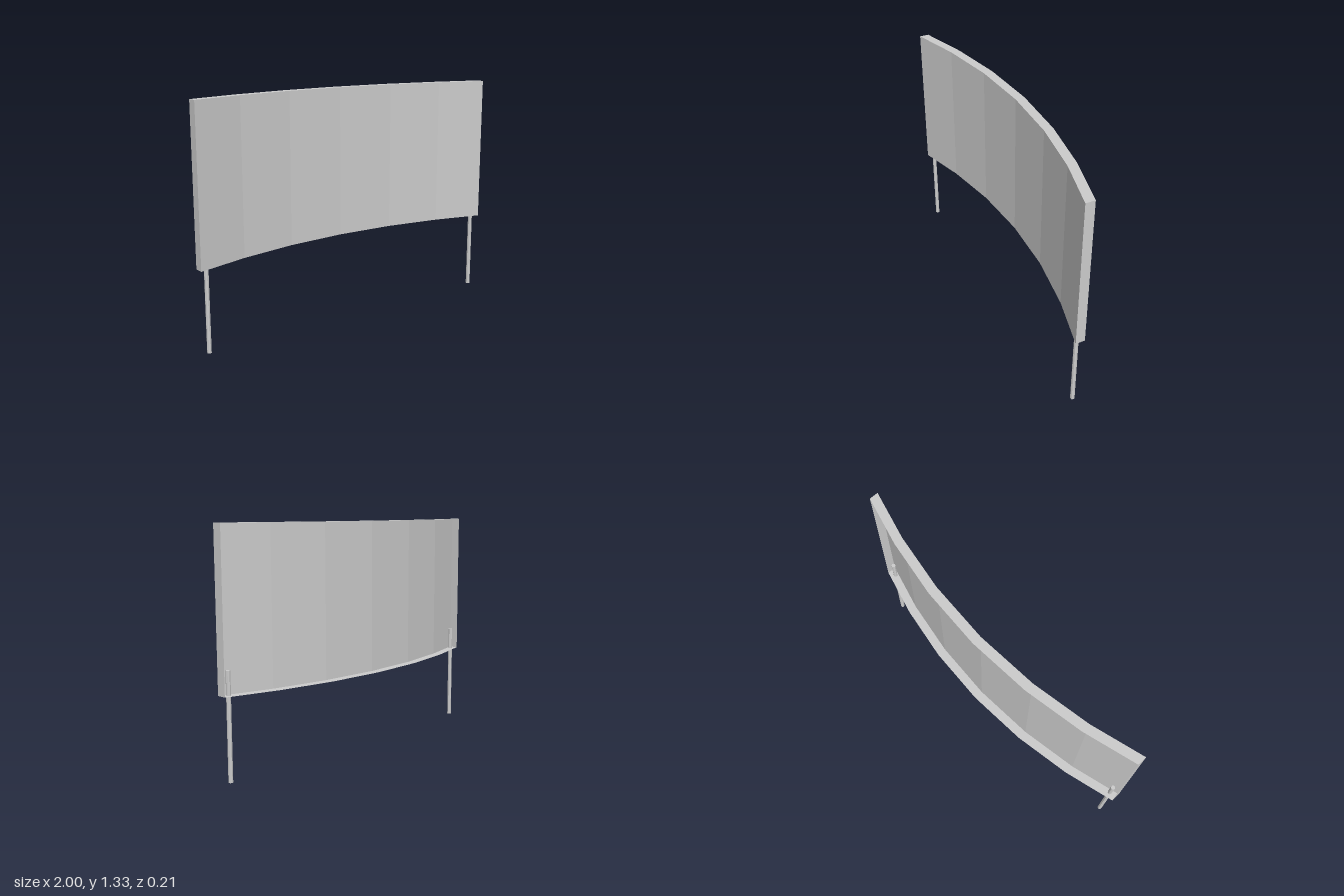
import * as THREE from 'three';

const BOTTOM = 0.46, TOP = 1.33, DEPTH = 0.054;
const material = new THREE.MeshStandardMaterial({ color: 0xcccccc, flatShading: true, side: THREE.DoubleSide });

// Bend of the panel, as [x, z] of its front face from right to left
const bend = [-1, -0.7, -0.36, 0, 0.36, 0.7, 1].map(x => [x, -0.053 + 0.16 * x * x]);
const rail = (y, back = 0) => bend.map(([x, z]) => new THREE.Vector3(x, y, z - back));

// Sheet stretched between two rails, facing the viewer when the first rail is the lower one
function sheet(name, lower, upper) {
  const points = [];
  for (let i = 0; i < lower.length - 1; i++) {
    points.push(lower[i], lower[i + 1], upper[i + 1], lower[i], upper[i + 1], upper[i]);
  }
  const geometry = new THREE.BufferGeometry().setFromPoints(points);
  geometry.computeVertexNormals();
  const mesh = new THREE.Mesh(geometry, material);
  mesh.name = name;
  return mesh;
}

export function createModel() {
  const model = new THREE.Group();
  model.name = 'curvedPanelOnPosts';

  // Shallow curved tray, open at the back
  const panel = new THREE.Group();
  panel.name = 'panel';
  const frontLow = rail(BOTTOM), frontHigh = rail(TOP);
  const backLow = rail(BOTTOM, DEPTH), backHigh = rail(TOP, DEPTH);
  panel.add(
    sheet('frontSheet', frontLow, frontHigh),
    sheet('topFlange', frontHigh, backHigh),
    sheet('bottomFlange', backLow, frontLow),
    sheet('leftFlange', [frontLow.at(-1), backLow.at(-1)], [frontHigh.at(-1), backHigh.at(-1)]),
    sheet('rightFlange', [backLow[0], frontLow[0]], [backHigh[0], frontHigh[0]])
  );
  model.add(panel);

  // Thin posts that run up through the bottom flange, behind the front sheet
  const postHeight = 0.59;
  const postGeometry = new THREE.CylinderGeometry(0.0125, 0.0125, postHeight, 8);
  for (const side of [1, -1]) {
    const post = new THREE.Mesh(postGeometry, material);
    post.name = side > 0 ? 'leftPost' : 'rightPost';
    post.position.set(side * 0.957, postHeight / 2, 0.077);
    model.add(post);
  }
  return model;
}
